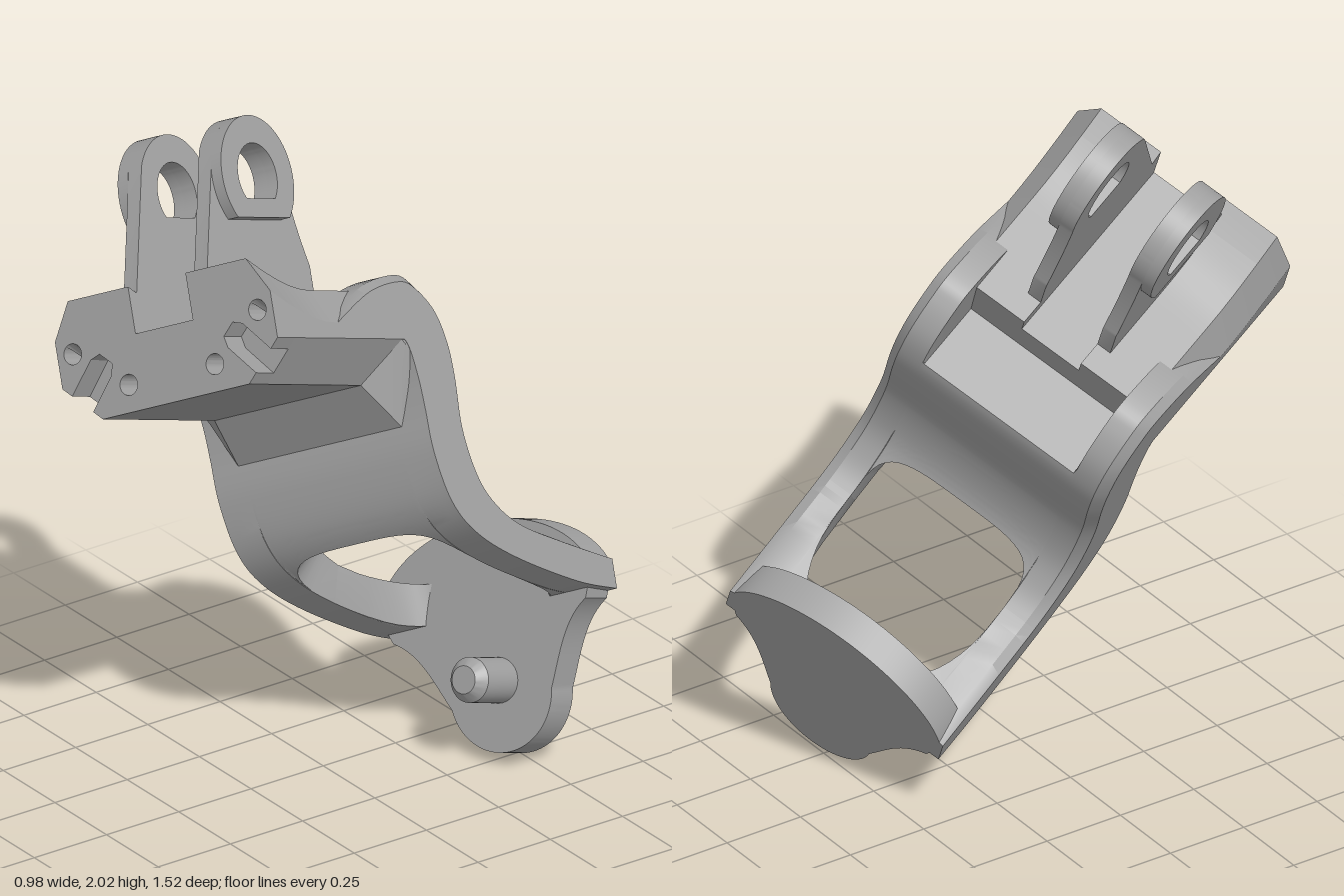
import * as THREE from 'three';
import { toCreasedNormals } from 'three/addons/utils/BufferGeometryUtils.js';
import { ConvexGeometry } from 'three/addons/geometries/ConvexGeometry.js';

const V = (x, y) => new THREE.Vector2(x, y);

export function createModel() {
  const metal = new THREE.MeshStandardMaterial({ color: 0xa0a0a0 });
  metal.name = 'grey metal';

  // Bracket's own axes: x = width, y = up, z = forward; tilted as a whole
  const W = new THREE.Vector3(0.804, 0.422, -0.418).normalize();
  const F = new THREE.Vector3(0.267, 0.373, 0.889).normalize();
  const U = new THREE.Vector3().crossVectors(F, W).normalize();
  F.crossVectors(W, U);
  const bracket = new THREE.Group();
  bracket.name = 'bracket';
  bracket.quaternion.setFromRotationMatrix(new THREE.Matrix4().makeBasis(W, U, F));
  bracket.position.copy(W).multiplyScalar(0.454);

  const add = (name, geo) => {
    const mesh = new THREE.Mesh(toCreasedNormals(geo, 0.5), metal);
    mesh.name = name;
    bracket.add(mesh);
  };
  const circle = (x, y, r) => new THREE.Path().absarc(x, y, r, 0, Math.PI * 2, true);
  const extrude = (shape, depth, steps = 1) =>
    new THREE.ExtrudeGeometry(shape, { depth, steps, bevelEnabled: false, curveSegments: 24 });
  // Shape drawn in (z, y), extruded across the width from x0 to x1
  const extrudeX = (shape, x0, x1) =>
    extrude(shape, x1 - x0).rotateY(-Math.PI / 2).translate(x1, 0, 0);

  // S-shaped body: paired upper and lower curves (z, y), from the rear web to the shoulder
  const upper = new THREE.SplineCurve([
    V(-0.37, 0.434), V(-0.13, 0.485), V(0.05, 0.53), V(0.15, 0.59), V(0.21, 0.67), V(0.245, 0.8),
    V(0.24, 0.95), V(0.25, 1.05), V(0.29, 1.14), V(0.37, 1.21), V(0.45, 1.235), V(0.62, 1.2), V(0.8, 1.1)]);
  const lower = new THREE.SplineCurve([
    V(-0.37, 0.335), V(-0.18, 0.355), V(0.1, 0.42), V(0.28, 0.49), V(0.38, 0.58), V(0.43, 0.72),
    V(0.44, 0.85), V(0.45, 0.94), V(0.475, 1.03), V(0.52, 1.055), V(0.58, 1.055), V(0.65, 1.055), V(0.8, 1.055)]);
  const END = 12, HALF = 0.375, BEVEL = 0.345, WINDOW = 0.27;
  const columns = [-HALF, -BEVEL];
  for (let i = 0; i <= 28; i++) columns.push(WINDOW * Math.sin((i / 28 - 0.5) * Math.PI));
  columns.push(BEVEL, HALF);
  // Opening through the web, as a rounded rectangle along the path
  const MID = 1.95;
  const opening = (x) => 1.55 * Math.pow(Math.max(0, 1 - Math.pow(Math.abs(x) / WINDOW, 4)), 0.3);

  // Closed sheet lofted across the width; path(x, s) gives the curve position for s = 0..1
  function bodyPart(path, n, adjust) {
    const rings = columns.map((x) => {
      const ring = [];
      for (let k = 0; k < 2 * (n + 1); k++) {
        const top = k > n;
        const t = path(x, (top ? 2 * n + 1 - k : k) / n) / END;
        const p = (top ? upper : lower).getPoint(t);
        // small bevel along the outer upper edges
        if (top && Math.abs(x) === HALF) p.lerp(lower.getPoint(t), 0.14);
        adjust(p, x, top);
        ring.push([x, p.y, p.x]);
      }
      return ring;
    });
    const pos = [];
    const quad = (a, b, c, d) => pos.push(...a, ...b, ...c, ...a, ...c, ...d);
    const m = 2 * (n + 1);
    for (let j = 0; j < rings.length - 1; j++) {
      for (let i = 0; i < m; i++) {
        const k = (i + 1) % m;
        quad(rings[j][i], rings[j + 1][i], rings[j + 1][k], rings[j][k]);
      }
    }
    const a = rings[0], b = rings[rings.length - 1];
    for (let i = 0; i < n; i++) {
      quad(a[i], a[i + 1], a[m - 2 - i], a[m - 1 - i]);
      quad(b[m - 1 - i], b[m - 2 - i], b[i + 1], b[i]);
    }
    const geo = new THREE.BufferGeometry();
    geo.setAttribute('position', new THREE.Float32BufferAttribute(pos, 3));
    return geo;
  }
  // Rear web: underside cut back to the plate between the rails
  add('rearWeb', bodyPart((x, s) => s * (MID - opening(x)), 14, (p, x, top) => {
    if (!top) p.x = Math.min(p.x, -0.27 + 0.42 * Math.pow(Math.abs(x) / WINDOW, 8));
  }));
  // Front wall and shoulder: pocket sunk into the middle of the shoulder
  add('curvedBody', bodyPart((x, s) => {
    const start = MID + opening(x);
    return s < 0.35 ? start + (5 - start) * (s / 0.35) : 5 + (END - 5) * (s - 0.35) / 0.65;
  }, 60, (p, x, top) => {
    if (top && Math.abs(x) < 0.265) p.y = Math.min(p.y, 1.06);
  }));

  // End plate: domed top, round lobe at the bottom
  const plate = new THREE.Shape();
  plate.moveTo(-0.372, 0.4);
  plate.lineTo(-0.335, 0.315);
  plate.bezierCurveTo(-0.25, 0.27, -0.22, 0.18, -0.172, 0.09);
  plate.absarc(0, 0.115, 0.175, Math.PI + 0.15, -0.15, false);
  plate.bezierCurveTo(0.22, 0.18, 0.25, 0.27, 0.335, 0.315);
  plate.lineTo(0.372, 0.4);
  plate.bezierCurveTo(0.33, 0.53, 0.16, 0.6, 0, 0.6);
  plate.bezierCurveTo(-0.16, 0.6, -0.33, 0.53, -0.372, 0.4);
  add('endPlate', extrude(plate, 0.105).translate(0, 0, -0.37));

  // Chamfered locating pin
  const pin = new THREE.LatheGeometry([V(0, 0), V(0.065, 0), V(0.065, 0.16), V(0.04, 0.19), V(0, 0.19)], 32);
  add('pin', pin.rotateX(Math.PI / 2).translate(0, 0.145, -0.28));

  // Clamp block: faceted cross-section, optionally with grooves in the lower chamfers
  function blockSection(groove) {
    const half = [V(0.255, 0.935)];
    if (groove) {
      const d = V(0.737, 0.676), n = V(-0.676, 0.737);
      for (const [u, v] of [[-1, 0], [-1, groove], [-0.6, groove + 0.03], [0.6, groove + 0.03], [1, groove], [1, 0]]) {
        half.push(V(0.315, 0.99).addScaledVector(d, u * 0.042).addScaledVector(n, v));
      }
    }
    half.push(V(0.375, 1.045), V(0.375, 1.18), V(0.31, 1.285), V(0.1, 1.285), V(0.1, 1.15));
    const mirrored = half.map((p) => V(-p.x, p.y)).reverse();
    return new THREE.Shape([...half, ...mirrored]);
  }
  function blockPart(name, z0, z1, groove, holes, steps) {
    const shape = blockSection(groove);
    for (const [x, y] of holes) for (const s of [-1, 1]) shape.holes.push(circle(s * x, y, 0.03));
    const geo = extrude(shape, z1 - z0, steps).translate(0, 0, z0);
    // top sinks in a hollow behind the front edge
    const p = geo.attributes.position;
    for (let i = 0; i < p.count; i++) {
      const sink = 0.09 * Math.sin(Math.min(1, (1.117 - p.getZ(i)) / 0.3) * Math.PI / 2);
      if (p.getY(i) > 1.16) p.setY(i, p.getY(i) - sink);
    }
    add(name, geo);
  }
  blockPart('blockMain', 0.48, 1.03, 0, [], 10);
  blockPart('blockFront', 1.03, 1.117, 0.12, [[0.322, 1.135], [0.15, 1.013]], 3);

  // Sloped support under the block, bevelled out to the body's sides
  const corners = [
    [0.285, 0.81, 0.437], [0.255, 0.936, 0.565], [0.374, 1.044, 0.5],
    [0.374, 0.98, 0.43], [0.285, 0.8, 0.38], [0.374, 1.044, 0.4]];
  add('gusset', new ConvexGeometry(
    corners.flatMap(([x, y, z]) => [new THREE.Vector3(x, y, z), new THREE.Vector3(-x, y, z)])));

  // Pair of hinge lugs, each with a flat-bottomed boss on the outside
  const cz = 0.8, cy = 1.55, r = 0.175;
  const dHole = () => {
    const h = new THREE.Path();
    h.absarc(cz, cy, 0.095, -0.75, Math.PI + 0.75, false);
    h.closePath();
    return h;
  };
  const lug = new THREE.Shape();
  lug.moveTo(0.56, 1.05);
  lug.lineTo(1.1, 1.05);
  lug.lineTo(1.112, 1.17);
  lug.lineTo(cz + r * Math.cos(0.5), cy + r * Math.sin(0.5));
  lug.absarc(cz, cy, r, 0.5, Math.PI, false);
  lug.quadraticCurveTo(0.605, 1.42, 0.56, 1.3);
  lug.closePath();
  lug.holes.push(dHole());
  const boss = new THREE.Shape();
  boss.absarc(cz, cy, r, -0.75, Math.PI + 0.75, false);
  boss.closePath();
  boss.holes.push(dHole());
  for (const [side, s] of [['left', 1], ['right', -1]]) {
    const span = (a, b) => (s > 0 ? [a, b] : [-b, -a]);
    add(side + 'Lug', extrudeX(lug, ...span(0.1, 0.145)));
    add(side + 'LugBoss', extrudeX(boss, ...span(0.145, 0.18)));
  }

  const model = new THREE.Group();
  model.name = 'hingeBracket';
  model.add(bracket);
  return model;
}
